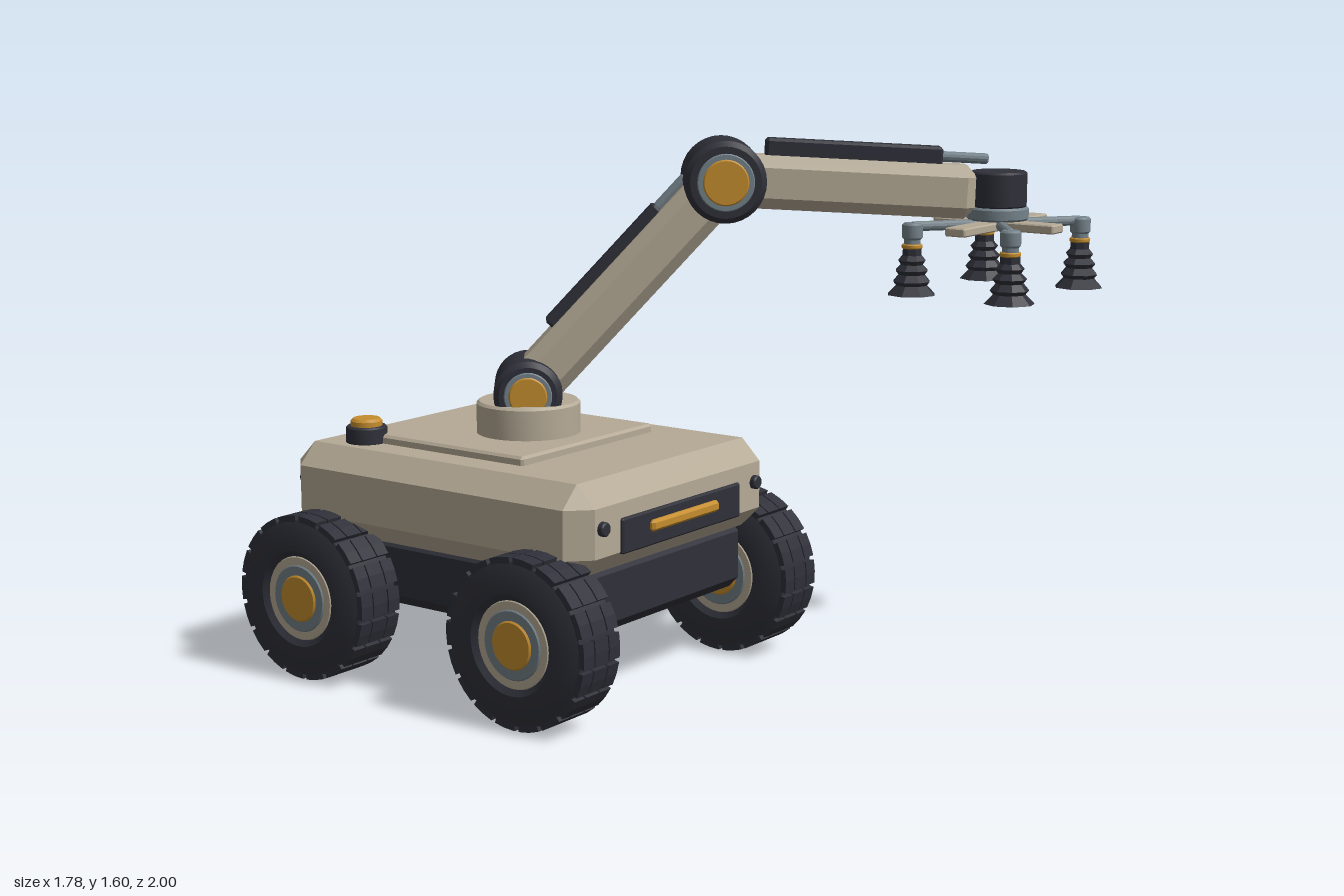
import * as THREE from 'three';
import { toCreasedNormals } from 'three/addons/utils/BufferGeometryUtils.js';
import { ConvexGeometry } from 'three/addons/geometries/ConvexGeometry.js';

const material = (name, color) => Object.assign(new THREE.MeshStandardMaterial({ color }), { name });
const tan = material('tan paint', 0xb5aa96);
const dark = material('dark rubber', 0x2f3039);
const amber = material('amber', 0xc48d2e);
const steel = material('steel', 0x74828a);

function add(parent, name, geometry, mat, x = 0, y = 0, z = 0) {
  const mesh = new THREE.Mesh(geometry, mat);
  mesh.name = name;
  mesh.position.set(x, y, z);
  parent.add(mesh);
  return mesh;
}

function group(parent, name, x = 0, y = 0, z = 0) {
  const g = new THREE.Group();
  g.name = name;
  g.position.set(x, y, z);
  parent.add(g);
  return g;
}

// Box with every edge cut at 45 degrees
function chamferBox(w, h, d, c) {
  const pts = [];
  for (const sx of [-1, 1]) for (const sy of [-1, 1]) for (const sz of [-1, 1]) {
    const x = w / 2, y = h / 2, z = d / 2;
    pts.push(new THREE.Vector3(sx * x, sy * (y - c), sz * (z - c)));
    pts.push(new THREE.Vector3(sx * (x - c), sy * y, sz * (z - c)));
    pts.push(new THREE.Vector3(sx * (x - c), sy * (y - c), sz * z));
  }
  return new ConvexGeometry(pts);
}

// Turned solid from [radius, height] pairs, listed bottom to top
const lathe = (pts, n = 32) =>
  toCreasedNormals(new THREE.LatheGeometry(pts.map(p => new THREE.Vector2(...p)), n), 0.5);

// Cylinder with small bevels on both rims
const drum = (r, h, b = 0.01, n = 32) =>
  lathe([[0, -h / 2], [r - b, -h / 2], [r, -h / 2 + b], [r, h / 2 - b], [r - b, h / 2], [0, h / 2]], n);

// Ring of tread lugs, extruded along z
function treadRow(width) {
  const n = 18, root = 0.228, tip = 0.25, shape = new THREE.Shape();
  for (let i = 0; i < n; i++) {
    [[0, root], [0.001, tip], [0.42, tip], [0.84, tip], [0.841, root]].forEach(([f, r], k) => {
      const a = (i + f) / n * Math.PI * 2;
      shape[i + k ? 'lineTo' : 'moveTo'](r * Math.cos(a), r * Math.sin(a));
    });
  }
  return new THREE.ExtrudeGeometry(shape, { depth: width, bevelEnabled: false }).translate(0, 0, -width / 2);
}

function buildWheel(parent, name, x, z) {
  const wheel = group(parent, name, x, 0.25, z);
  wheel.rotation.z = Math.PI / 2;
  add(wheel, 'tire', lathe([[0.125, -0.08], [0.145, -0.095], [0.195, -0.095], [0.236, -0.078],
    [0.236, 0.078], [0.195, 0.095], [0.145, 0.095], [0.125, 0.08]], 48), dark);
  for (const [offset, width] of [[-0.057, 0.046], [0, 0.058], [0.057, 0.046]])
    add(wheel, 'treadLugs', treadRow(width), dark, 0, offset).rotation.x = Math.PI / 2;
  add(wheel, 'rim', drum(0.135, 0.17), tan);
  add(wheel, 'rimRing', drum(0.102, 0.178, 0.004), steel);
  add(wheel, 'hubCap', drum(0.072, 0.188, 0.006), amber);
}

// Pivot drum lying across the arm, with a capped bearing at each end
function buildJoint(parent, name, r, y, z) {
  const joint = group(parent, name, 0, y, z);
  joint.rotation.z = Math.PI / 2;
  add(joint, 'jointDrum', drum(r, 0.246, 0.016), dark);
  add(joint, 'bearingRing', drum(r * 0.7, 0.254, 0.003), steel);
  add(joint, 'bearingCap', drum(r * 0.56, 0.262, 0.004), amber);
}

// Beam between two points of the arm plane, with an actuator on its upper face
function buildBeam(parent, name, from, to, w, t, s) {
  const dy = to[0] - from[0], dz = to[1] - from[1], len = Math.hypot(dy, dz);
  const beam = group(parent, name, 0, from[0], from[1]);
  beam.rotation.x = -Math.atan2(dy, dz);
  add(beam, 'beam', chamferBox(w, t, len, 0.035), tan, 0, 0, len / 2);
  const mid = (s.start + s.end) / 2, base = t / 2 - 0.01;
  add(beam, 'actuator', chamferBox(0.062, s.height + 0.01, s.end - s.start, 0.008), dark,
    0, base + s.height / 2, mid);
  const rod = add(beam, 'actuatorRod', drum(0.016, s.rodEnd - mid, 0.004, 12), steel,
    0, base + s.height * 0.55, (mid + s.rodEnd) / 2);
  rod.rotation.x = Math.PI / 2;
}

function buildGripper(parent) {
  const g = group(parent, 'gripper', 0.592, 0, 0.755);
  add(g, 'wristMotor', drum(0.086, 0.108, 0.006), dark, 0, 1.44);
  add(g, 'wristFlange', drum(0.093, 0.04, 0.006), steel, 0, 1.368);
  add(g, 'crossBarWide', chamferBox(0.515, 0.026, 0.068, 0.004), tan, 0, 1.332);
  add(g, 'crossBarDeep', chamferBox(0.068, 0.027, 0.407, 0.004), tan, 0, 1.332);
  const reach = Math.hypot(0.22, 0.165);
  const bellows = [[0, 1.27], [0.03, 1.27], [0.03, 1.25], [0.043, 1.235], [0.034, 1.222], [0.051, 1.205],
    [0.041, 1.192], [0.058, 1.172], [0.048, 1.16], [0.075, 1.132], [0, 1.132]].reverse();
  for (const sx of [-1, 1]) for (const sz of [-1, 1]) {
    const arm = group(g, 'cupArm', 0, 0, 0);
    arm.rotation.y = Math.atan2(sx * 0.22, sz * 0.165);
    add(arm, 'armTube', drum(0.015, reach, 0.003, 12), steel, 0, 1.336, reach / 2).rotation.x = Math.PI / 2;
    add(arm, 'cupMount', drum(0.031, 0.05, 0.006, 16), steel, 0, 1.322, reach);
    add(arm, 'cupStem', drum(0.025, 0.03, 0.003, 16), steel, 0, 1.29, reach);
    add(arm, 'cupCollar', drum(0.031, 0.014, 0.003, 16), amber, 0, 1.277, reach);
    add(arm, 'suctionCup', lathe(bellows, 8), dark, 0, 0, reach);
  }
}

export function createModel() {
  const model = new THREE.Group();
  model.name = 'roverWithArm';
  const cx = -0.302, cz = -0.34;

  // Body
  add(model, 'body', chamferBox(0.934, 0.272, 1.138, 0.064), tan, cx, 0.552, cz);
  add(model, 'undercarriage', chamferBox(0.81, 0.215, 1.03, 0.035), dark, cx, 0.332, cz);
  add(model, 'deckPlate', chamferBox(0.624, 0.04, 0.584, 0.008), tan, cx + 0.002, 0.694, -0.4);

  // Front and rear panels with lamp bars and bolts
  for (const s of [-1, 1]) {
    const end = group(model, s > 0 ? 'frontPanel' : 'rearPanel', cx, 0, cz + s * 0.569);
    add(end, 'panel', chamferBox(0.576, 0.104, 0.022, 0.005), dark, 0, 0.526, 0);
    add(end, 'lampBar', chamferBox(0.326, 0.034, 0.036, 0.008), amber, 0, 0.533, s * 0.007);
    for (const x of [-0.372, 0.372])
      add(end, 'bolt', drum(0.021, 0.036, 0.004, 16), dark, x, 0.564, 0).rotation.x = Math.PI / 2;
  }

  // Vent slots on the left side only
  for (let i = 0; i < 7; i++)
    add(model, 'ventSlot', new THREE.BoxGeometry(0.016, 0.068, 0.022), dark, 0.167, 0.566, -0.187 - i * 0.0695);

  // Beacon
  add(model, 'beaconBase', drum(0.062, 0.055, 0.005, 24), dark, -0.617, 0.711, -0.714);
  add(model, 'beaconLamp', drum(0.048, 0.036, 0.008, 24), amber, -0.617, 0.743, -0.714);

  // Wheels and axles
  for (const z of [0.073, -0.753]) {
    for (const s of [-1, 1])
      buildWheel(model, s > 0 ? 'leftWheel' : 'rightWheel', cx + s * 0.493, z);
    add(model, 'axle', drum(0.045, 0.95), dark, cx, 0.25, z).rotation.z = Math.PI / 2;
  }

  // Turret and arm, turned towards the front left
  add(model, 'turret', drum(0.157, 0.12, 0.008, 40), tan, cx - 0.002, 0.752, cz);
  const arm = group(model, 'arm', cx - 0.002, 0, cz);
  arm.rotation.y = 0.684;
  const shoulder = [0.842, 0], elbow = [1.474, 0.587], wrist = [1.432, 1.345];
  buildJoint(arm, 'shoulderJoint', 0.103, ...shoulder);
  buildJoint(arm, 'elbowJoint', 0.122, ...elbow);
  buildBeam(arm, 'upperArm', shoulder, elbow, 0.16, 0.155, { start: 0.19, end: 0.67, rodEnd: 0.79, height: 0.035 });
  buildBeam(arm, 'forearm', elbow, wrist, 0.135, 0.16, { start: 0.12, end: 0.65, rodEnd: 0.79, height: 0.055 });

  buildGripper(model);
  return model;
}
